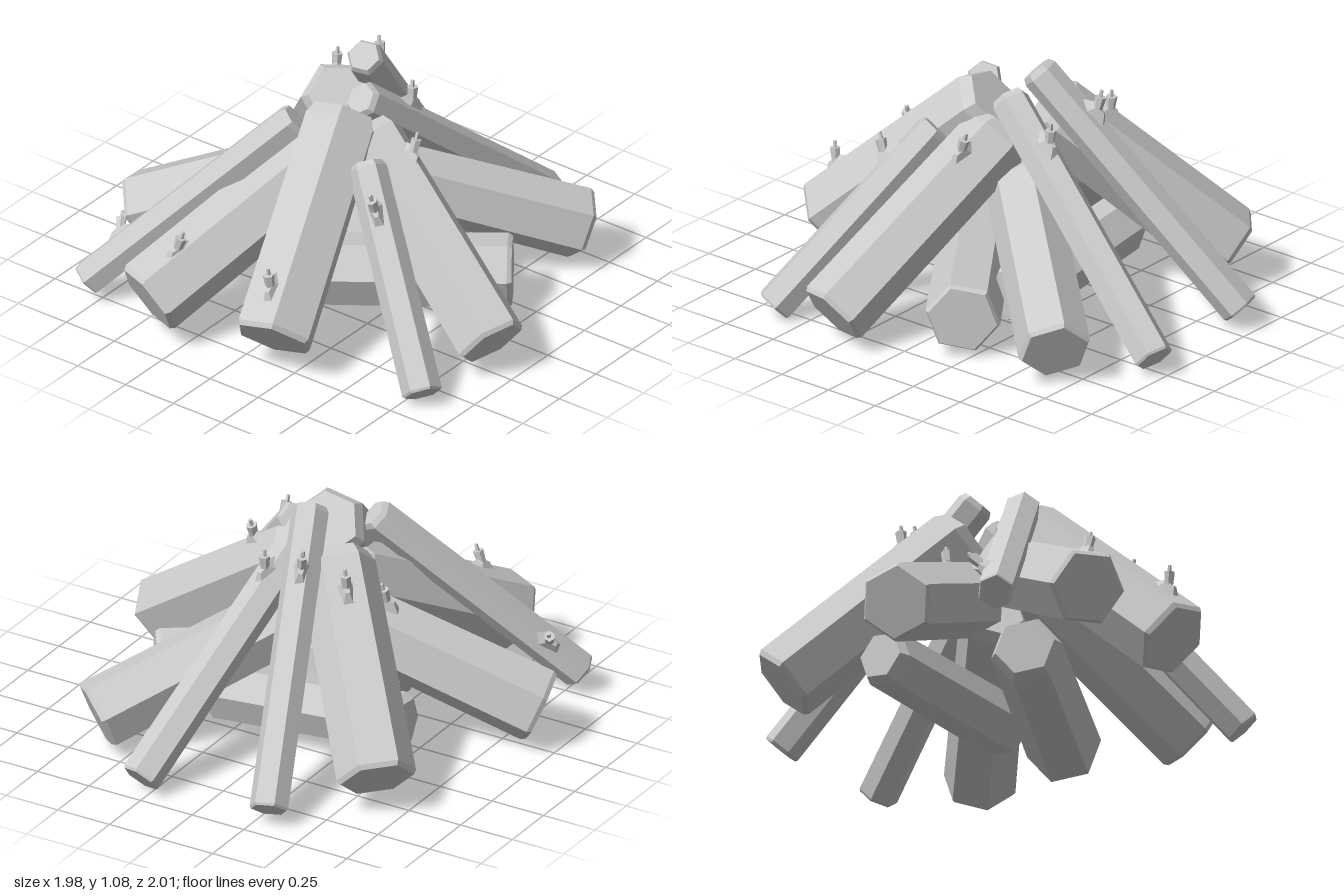
import * as THREE from 'three';

const material = new THREE.MeshStandardMaterial({ color: 0xcccccc, flatShading: true });
const V = (p) => new THREE.Vector3(...p);

// Each log: foot and tip of its axis, radius, roll in degrees (0 = ridge on top), optional twig position
const LOGS = [
  { name: 'westLog', foot: [-0.905, 0.17, 0.305], tip: [-0.09, 0.56, -0.03], r: 0.165, roll: 12, twig: [-0.31, 0.63, 0.03] },
  { name: 'eastLog', foot: [0.91, 0.155, 0.26], tip: [0.07, 0.765, 0.03], r: 0.155, roll: 20, twig: [0.34, 0.79, 0.03] },
  { name: 'frontLeftLog', foot: [0.205, 0.195, 0.84], tip: [0.02, 0.87, 0.11], r: 0.175, roll: 14, twig: [0.18, 0.43, 0.81] },
  { name: 'frontRightLog', foot: [-0.39, 0.21, 0.92], tip: [-0.06, 0.66, 0.1], r: 0.168, roll: 26, twig: [-0.3, 0.43, 0.81] },
  { name: 'backLeftLog', foot: [0.64, 0.17, -0.715], tip: [0.03, 0.54, -0.03], r: 0.155, roll: 12 },
  { name: 'backRightLog', foot: [-0.655, 0.17, -0.6], tip: [-0.12, 0.83, -0.05], r: 0.168, roll: 25, twig: [-0.3, 0.84, -0.26] },
  { name: 'frontRightBranch', foot: [-0.805, 0.095, 0.785], tip: [-0.11, 0.88, 0.27], r: 0.08, roll: 10, twig: [-0.74, 0.29, 0.64] },
  { name: 'frontLeftBranch', foot: [0.83, 0.06, 0.635], tip: [0.24, 0.775, 0.245], r: 0.085, roll: 10, twig: [0.4, 0.69, 0.4] },
  { name: 'backRightBranch', foot: [-0.325, 0.085, -0.925], tip: [-0.02, 1.045, -0.08], r: 0.083, roll: 25, twig: [-0.12, 0.9, -0.32] },
  { name: 'backLeftBranch', foot: [0.28, 0.08, -0.955], tip: [0.04, 0.91, 0.025], r: 0.086, roll: 15, twig: [0.1, 0.8, -0.24] },
  { name: 'groundLog', foot: [0.645, 0.18, -0.225], tip: [-0.22, 0.17, 0.385], r: 0.158, roll: 40 },
  { name: 'groundLogShort', foot: [0.33, 0.18, -0.25], tip: [-0.53, 0.2, -0.15], r: 0.132, roll: 20 },
];

// Orient an object so its y runs along `along` and its z leans towards `towards`
function orient(object, along, towards) {
  const y = along.clone().normalize();
  const z = towards.clone().addScaledVector(y, -towards.dot(y)).normalize();
  const x = new THREE.Vector3().crossVectors(y, z);
  object.quaternion.setFromRotationMatrix(new THREE.Matrix4().makeBasis(x, y, z));
}

// Hexagonal log with chamfered ends, slightly narrower at the tip
function makeLog({ foot, tip, r, roll }) {
  const axis = V(tip).sub(V(foot));
  const length = axis.length();
  const profile = [
    [0, 0], [r * 0.92, 0], [r, r * 0.12],
    [r * 0.96, length - r * 0.3], [r * 0.8, length], [0, length],
  ].map(([x, y]) => new THREE.Vector2(x, y));
  const log = new THREE.Mesh(new THREE.LatheGeometry(profile, 6), material);
  log.geometry.rotateY(THREE.MathUtils.degToRad(roll));
  log.position.copy(V(foot));
  orient(log, axis, new THREE.Vector3(0, 1, 0));
  return log;
}

// Broken twig: a flared collar stretched along the log, a leaning stub and a small shoot
function makeTwig({ foot, tip, r, twig }) {
  const axis = V(tip).sub(V(foot)).normalize();
  const base = V(foot).addScaledVector(axis, V(twig).sub(V(foot)).dot(axis));
  const out = V(twig).sub(base).normalize();
  const group = new THREE.Group();
  const add = (name, geometry) => {
    const mesh = new THREE.Mesh(geometry, material);
    mesh.name = name;
    group.add(mesh);
  };
  add('twigCollar', new THREE.CylinderGeometry(0.018, 0.042, 0.04, 5).scale(0.85, 1, 2).translate(0, 0.012, -0.01));
  add('twigStub', new THREE.CylinderGeometry(0.024, 0.02, 0.055, 6).rotateX(0.6).translate(0, 0.045, 0.01));
  add('twigShoot', new THREE.CylinderGeometry(0.008, 0.011, 0.05, 5).rotateX(0.6).translate(0, 0.07, 0.03));
  group.position.copy(base).addScaledVector(out, r * 0.86);
  orient(group, out, axis);
  return group;
}

export function createModel() {
  const model = new THREE.Group();
  model.name = 'logPile';
  for (const spec of LOGS) {
    const log = makeLog(spec);
    log.name = spec.name;
    model.add(log);
    if (spec.twig) {
      const twig = makeTwig(spec);
      twig.name = spec.name + 'Twig';
      model.add(twig);
    }
  }
  return model;
}
